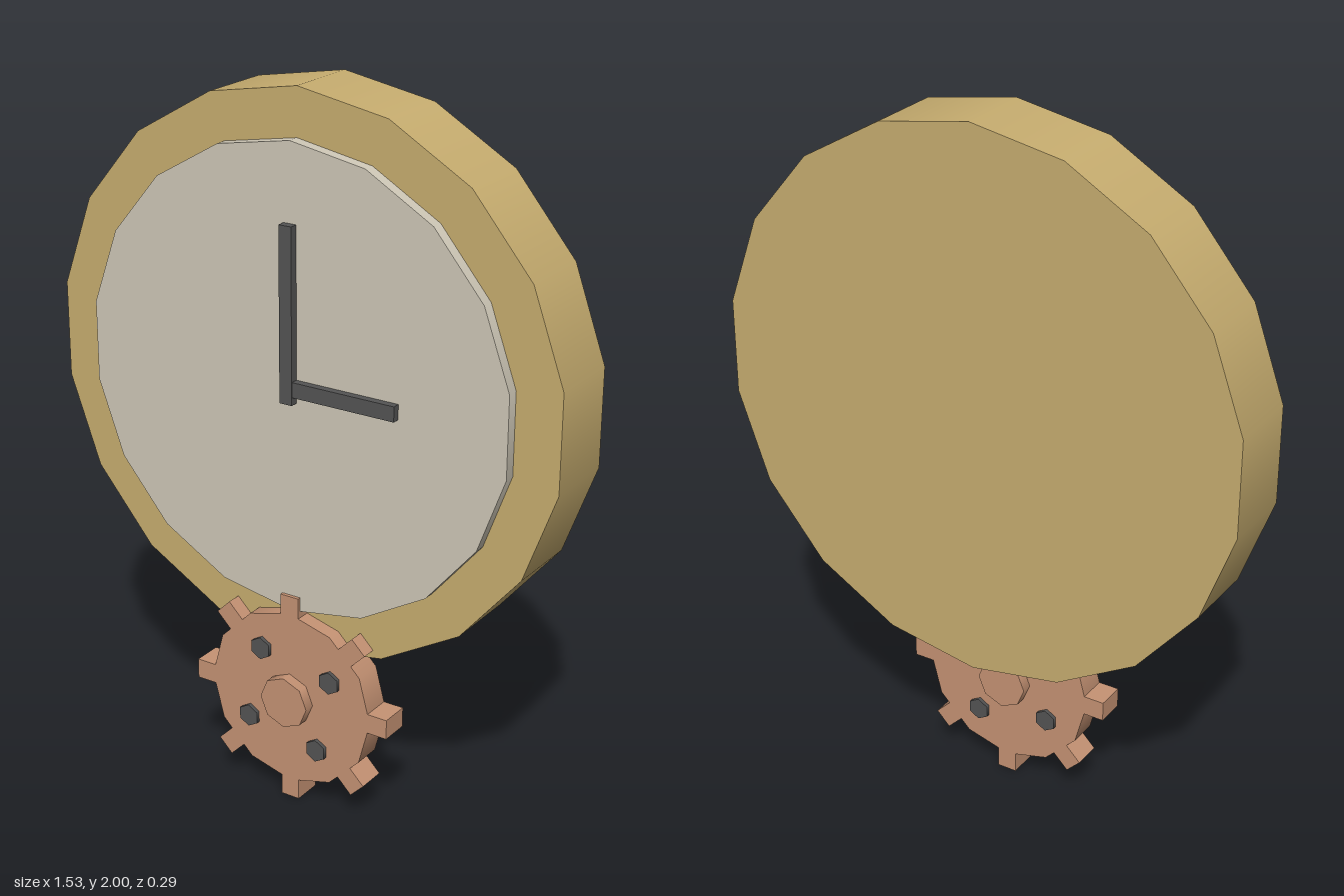
import * as THREE from 'three';

const mat = (name, color) => {
  const m = new THREE.MeshStandardMaterial({ color });
  m.name = name;
  return m;
};

export function createModel() {
  const brass = mat('brass', 0xc8ae70);
  const cream = mat('cream', 0xd0c9b8);
  const copper = mat('copper', 0xc69374);
  const iron = mat('iron', 0x545454);

  const model = new THREE.Group();
  model.name = 'clock';

  const add = (parent, name, geometry, material, x, y, z) => {
    const mesh = new THREE.Mesh(geometry, material);
    mesh.name = name;
    mesh.position.set(x, y, z);
    parent.add(mesh);
    return mesh;
  };
  // Disc facing +z, spanning z0 to z1, with a corner at the top
  const disc = (parent, name, r, sides, z0, z1, material, x = 0, y = 0) =>
    add(parent, name, new THREE.CylinderGeometry(r, r, z1 - z0, sides).rotateX(Math.PI / 2),
      material, x, y, (z0 + z1) / 2);

  // Clock body
  const clock = new THREE.Group();
  clock.name = 'clockBody';
  clock.position.y = 1.223;
  model.add(clock);
  disc(clock, 'case', 0.777, 18, -0.146, 0.071, brass);
  disc(clock, 'dial', 0.647, 18, 0.0, 0.104, cream);

  // Hands
  add(clock, 'minuteHand', new THREE.BoxGeometry(0.038, 0.478, 0.026), iron, 0, 0.196, 0.114);
  add(clock, 'hourHand', new THREE.BoxGeometry(0.345, 0.042, 0.024), iron, 0.153, 0, 0.113);

  // Gear below the case
  const gear = new THREE.Group();
  gear.name = 'gear';
  gear.position.y = 0.311;
  model.add(gear);
  disc(gear, 'gearDisc', 0.259, 12, 0.03, 0.114, copper);
  disc(gear, 'hub', 0.075, 8, -0.002, 0.146, copper);

  // Eight teeth
  for (let i = 0; i < 8; i++) {
    const a = (i * Math.PI) / 4;
    const tooth = add(gear, 'tooth', new THREE.BoxGeometry(0.1, 0.057, 0.084), copper,
      Math.cos(a) * 0.261, Math.sin(a) * 0.261, 0.072);
    tooth.rotation.z = a;
  }

  // Four bolts through the gear
  for (let i = 0; i < 4; i++) {
    const a = 0.6 + (i * Math.PI) / 2;
    disc(gear, 'bolt', 0.033, 6, 0.019, 0.125, iron, Math.cos(a) * 0.16, Math.sin(a) * 0.16);
  }

  return model;
}
